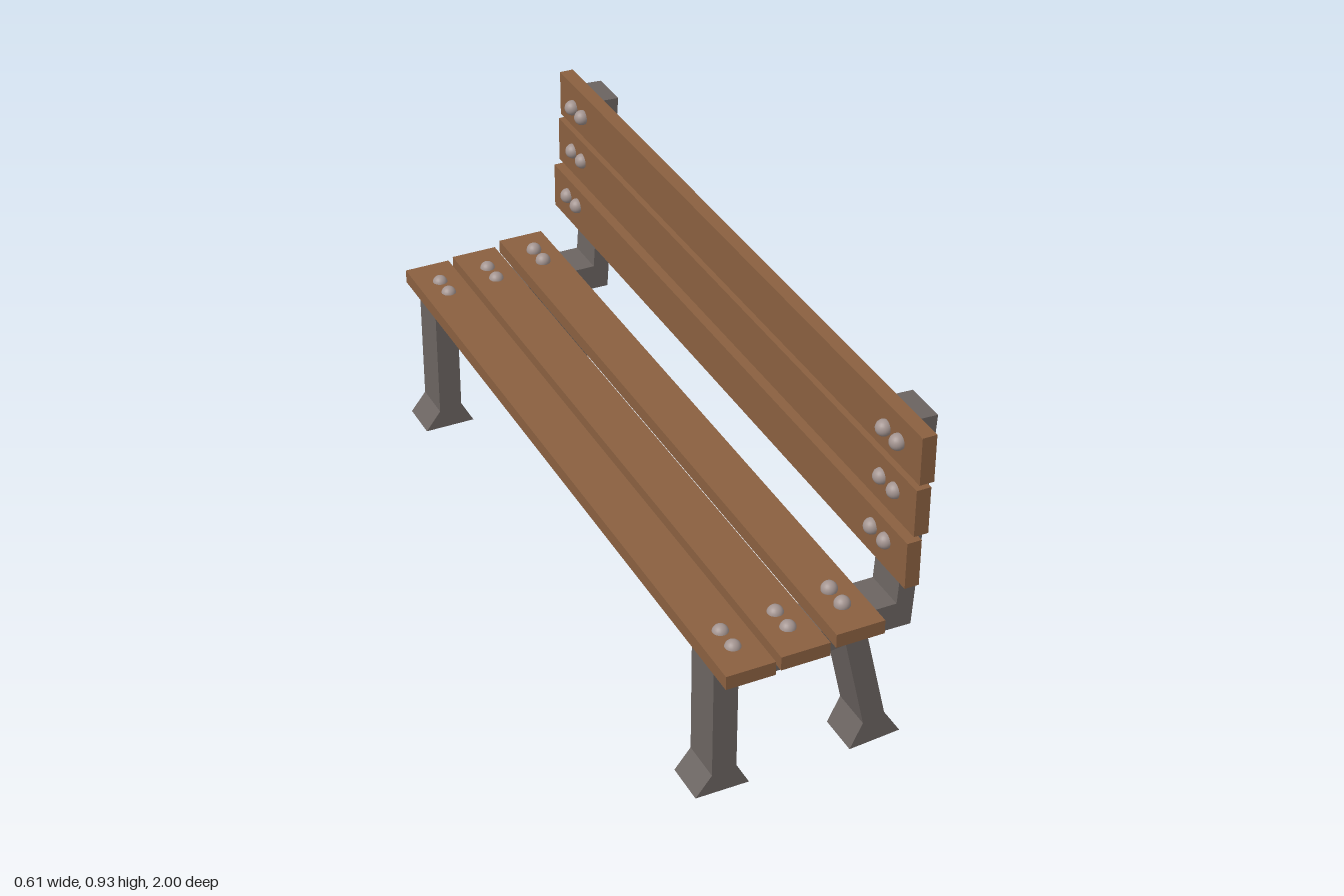
import * as THREE from 'three';

const wood = new THREE.MeshStandardMaterial({ color: 0x8a6040 });
const iron = new THREE.MeshStandardMaterial({ color: 0x6b6461 });
const steel = new THREE.MeshStandardMaterial({ color: 0xa39490 });

// Side outline of one end frame: seat rail, back post and two flared legs
const FRAME = [
  [-0.303, 0], [-0.16, 0], [-0.195, 0.057], [-0.195, 0.315], [-0.02, 0.319], [0.09, 0.332],
  [0.149, 0.07], [0.115, 0], [0.253, 0.012], [0.208, 0.08], [0.148, 0.34], [0.265, 0.338],
  [0.302, 0.926], [0.257, 0.928], [0.223, 0.411], [0.11, 0.411], [0, 0.392], [-0.14, 0.383], [-0.26, 0.38],
  [-0.26, 0.055],
].map(([x, y]) => new THREE.Vector2(x, y));

const FRAME_Z = 0.8625, FRAME_WIDTH = 0.115;
const PLANK_WIDTH = 0.129, PLANK_THICK = 0.038;

// Plank centres with the bolt centre on each one
const SEAT = [
  { x: -0.205, y: 0.399, bolt: [-0.204, 0.414] },
  { x: -0.0625, y: 0.407, bolt: [-0.06, 0.423] },
  { x: 0.0815, y: 0.424, bolt: [0.083, 0.447] },
];
const BACK = [
  { x: 0.2115, y: 0.584, bolt: [0.19, 0.597] },
  { x: 0.2275, y: 0.728, bolt: [0.208, 0.735] },
  { x: 0.234, y: 0.87, bolt: [0.208, 0.87] },
];

export function createModel() {
  const model = new THREE.Group();
  model.name = 'bench';
  const add = (name, geometry, material, x, y, z) => {
    const mesh = new THREE.Mesh(geometry, material);
    mesh.name = name;
    mesh.position.set(x, y, z);
    model.add(mesh);
  };

  // End frames
  const frame = new THREE.ExtrudeGeometry(new THREE.Shape(FRAME), { depth: FRAME_WIDTH, bevelEnabled: false });
  frame.translate(0, 0, -FRAME_WIDTH / 2);
  for (const side of [-1, 1]) add('endFrame', frame, iron, 0, 0, side * FRAME_Z);

  // Planks, each held by a pair of round bolts at either end
  const boltHead = new THREE.SphereGeometry(0.021, 20, 14);
  const addPlanks = (name, planks, w, h) => {
    const board = new THREE.BoxGeometry(w, h, 2);
    for (const p of planks) {
      add(name + 'Plank', board, wood, p.x, p.y, 0);
      for (const z of [-0.905, -0.841, 0.841, 0.905]) add(name + 'Bolt', boltHead, steel, ...p.bolt, z);
    }
  };
  addPlanks('seat', SEAT, PLANK_WIDTH, PLANK_THICK);
  addPlanks('back', BACK, PLANK_THICK, PLANK_WIDTH);

  return model;
}
